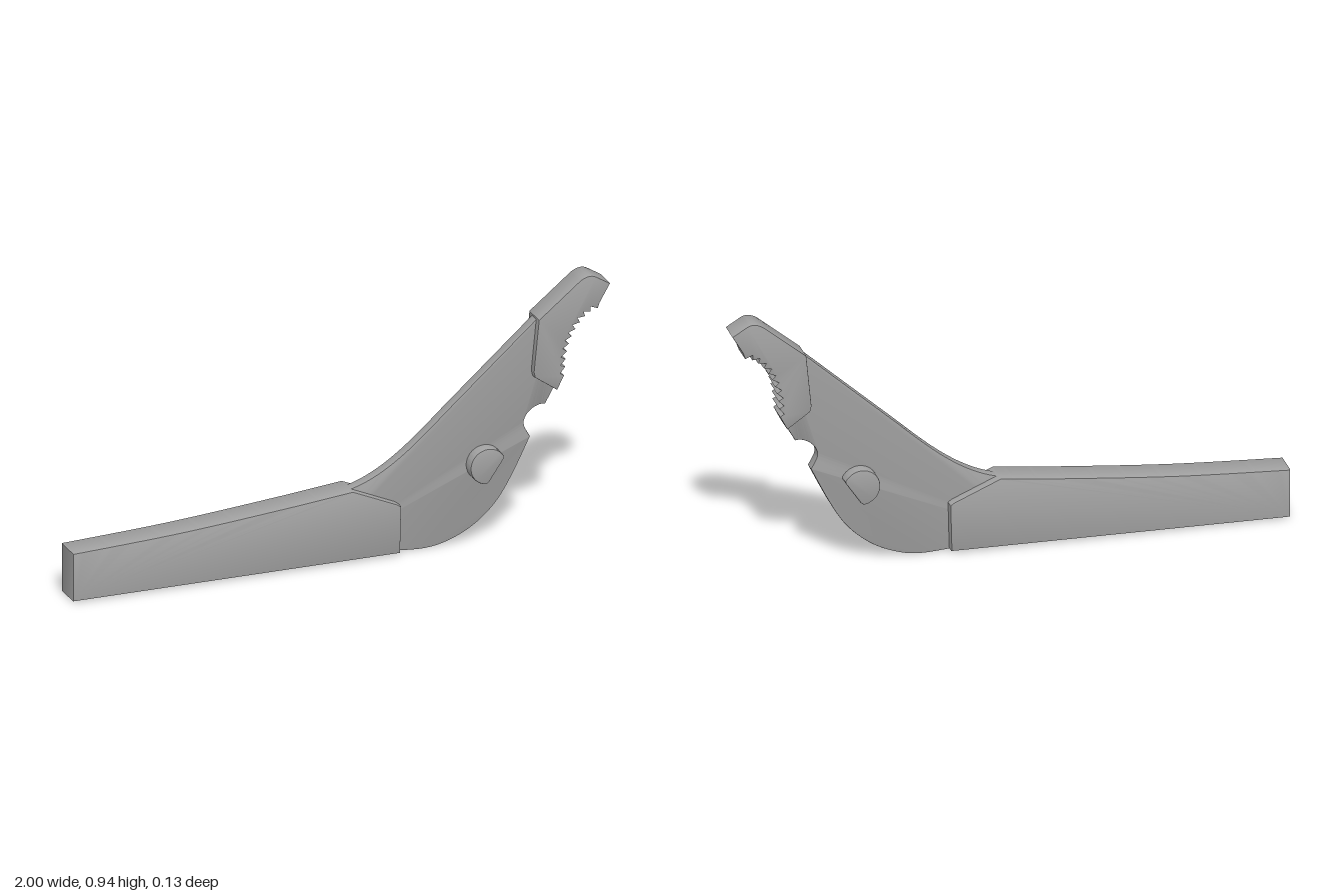
import * as THREE from 'three';
import { toCreasedNormals } from 'three/addons/utils/BufferGeometryUtils.js';

const grey = new THREE.MeshStandardMaterial({ color: 0xa0a0a0 });
grey.name = 'grey';

// Extrude a side outline symmetrically about z = 0, with a small edge bevel
function slab(name, shape, halfWidth, bevel) {
  const geo = new THREE.ExtrudeGeometry(shape, {
    depth: 2 * (halfWidth - bevel), curveSegments: 20,
    bevelEnabled: true, bevelSize: bevel, bevelThickness: bevel,
    bevelOffset: -bevel, bevelSegments: 2,
  });
  geo.translate(0, 0, -(halfWidth - bevel));
  const mesh = new THREE.Mesh(toCreasedNormals(geo, 0.6), grey);
  mesh.name = name;
  return mesh;
}

const pts = (list) => list.map(([x, y]) => new THREE.Vector2(x, y));

export function createModel() {
  const group = new THREE.Group();
  group.name = 'handTool';

  // Thick grip with a gently rising top
  const grip = new THREE.Shape();
  grip.moveTo(-1, 0.006);
  grip.lineTo(0.216, 0.01);
  grip.lineTo(0.22, 0.183);
  grip.lineTo(0.205, 0.193);
  grip.lineTo(0.04, 0.265);
  grip.splineThru(pts([[-0.2, 0.24], [-0.6, 0.205], [-1, 0.184]]));
  group.add(slab('grip', grip, 0.057, 0.004));

  // Thin curved arm running from inside the grip to inside the jaw
  const arm = new THREE.Shape();
  arm.moveTo(-0.1, 0.02);
  arm.lineTo(0.2, 0.007);
  arm.splineThru(pts([[0.32, 0], [0.41, 0.017], [0.5, 0.06], [0.58, 0.13], [0.64, 0.22], [0.712, 0.362]]));
  arm.splineThru(pts([[0.69, 0.405], [0.693, 0.435], [0.715, 0.462], [0.745, 0.476], [0.768, 0.476]]));
  arm.lineTo(0.803, 0.538);
  arm.lineTo(0.81, 0.7);
  arm.lineTo(0.87, 0.82);
  arm.lineTo(0.82, 0.865);
  arm.lineTo(0.735, 0.797);
  arm.lineTo(0.4, 0.5);
  arm.bezierCurveTo(0.28, 0.39, 0.17, 0.29, 0.035, 0.26);
  arm.lineTo(-0.1, 0.24);
  group.add(slab('arm', arm, 0.022, 0.003));

  // Jaw with a row of teeth following a concave curve
  const jaw = new THREE.Shape();
  jaw.moveTo(0.735, 0.803);
  jaw.lineTo(0.716, 0.61);
  jaw.lineTo(0.721, 0.59);
  jaw.lineTo(0.803, 0.532);
  jaw.lineTo(0.829, 0.583);
  const biteLine = new THREE.SplineCurve(pts([[0.815, 0.592], [0.817, 0.645], [0.832, 0.71], [0.864, 0.772], [0.91, 0.818], [0.957, 0.835]]));
  const teeth = 10;
  for (let i = 0; i < teeth; i++) {
    const root = biteLine.getPointAt(i / teeth);
    const u = (i + 0.75) / teeth;
    const tip = biteLine.getPointAt(u);
    const t = biteLine.getTangentAt(u);
    jaw.lineTo(root.x, root.y);
    jaw.lineTo(tip.x + t.y * 0.018, tip.y - t.x * 0.018);
  }
  jaw.lineTo(0.962, 0.838);
  jaw.lineTo(1, 0.903);
  jaw.lineTo(0.946, 0.936);
  jaw.quadraticCurveTo(0.918, 0.95, 0.885, 0.925);
  group.add(slab('jaw', jaw, 0.048, 0.003));

  // D-shaped pivot stud passing through the arm
  const stud = new THREE.Shape();
  stud.absarc(0.54, 0.29, 0.066, 0.6, 4.5, false);
  stud.quadraticCurveTo(0.535, 0.223, 0.545, 0.234);
  stud.lineTo(0.598, 0.312);
  stud.quadraticCurveTo(0.602, 0.32, 0.5945, 0.3273);
  group.add(slab('pivotStud', stud, 0.067, 0.005));

  return group;
}
